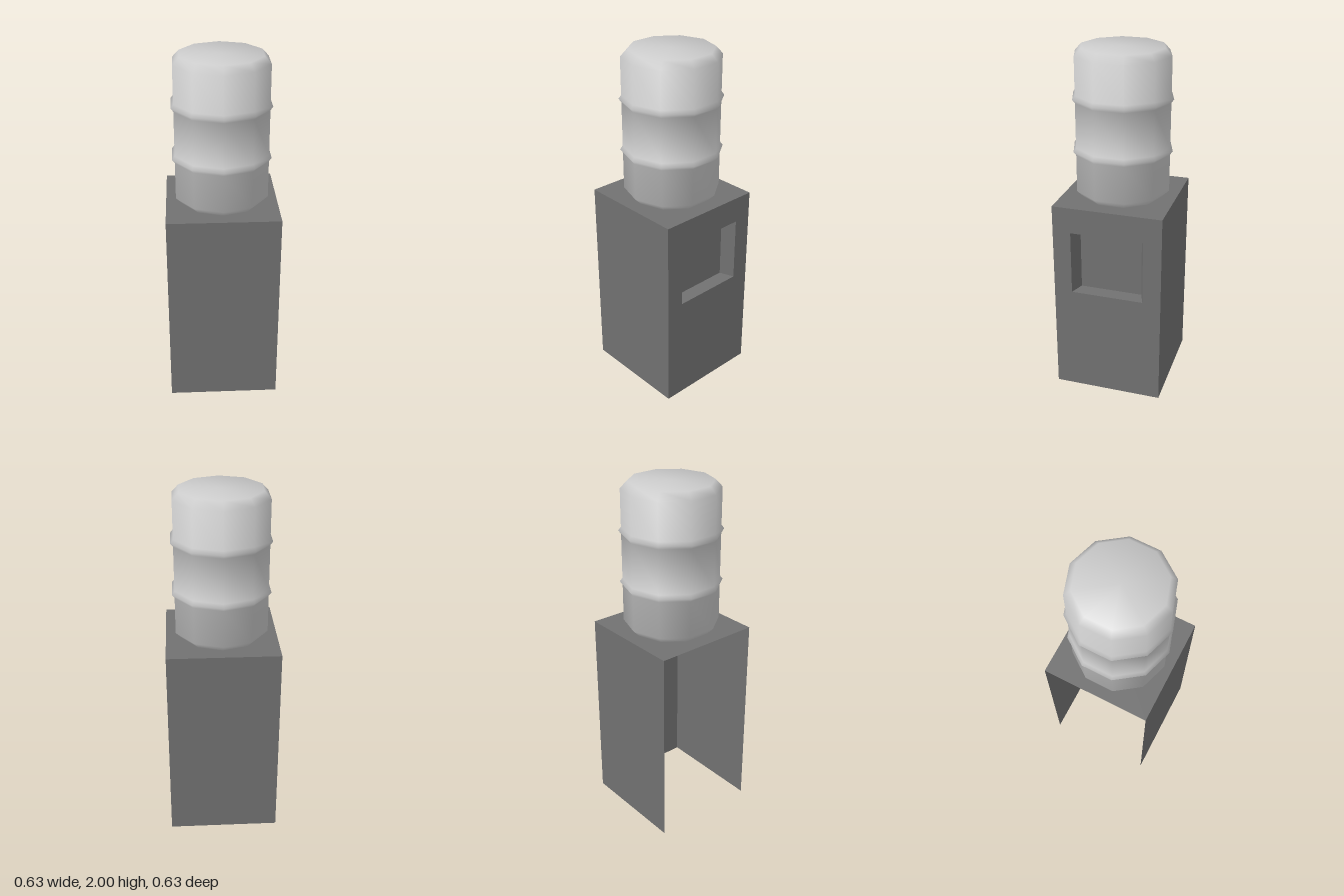
import * as THREE from 'three';

const HALF = 0.315, HEIGHT = 1.16;

// Lathe whose normals blend neighbouring bands equally, whatever their length
function softLathe(points, segments) {
  const geometry = new THREE.LatheGeometry(points.map(p => new THREE.Vector2(...p)), segments);
  const bands = points.slice(1).map(([r, y], i) => new THREE.Vector2(y - points[i][1], points[i][0] - r).normalize());
  const normals = points.map(([r], i) => {
    if (r === 0) return new THREE.Vector2(0, 1);
    return (bands[i - 1] ?? bands[i]).clone().add(bands[i]).normalize();
  });
  for (let s = 0; s <= segments; s++) {
    const phi = (s / segments) * Math.PI * 2;
    normals.forEach((n, j) => geometry.attributes.normal.setXYZ(
      s * points.length + j, n.x * Math.sin(phi), n.y, n.x * Math.cos(phi)));
  }
  return geometry;
}

export function createModel() {
  const model = new THREE.Group();
  model.name = 'waterCooler';
  const panelMat = new THREE.MeshStandardMaterial({ color: 0x717171, flatShading: true, side: THREE.DoubleSide });
  const bottleMat = new THREE.MeshStandardMaterial({ color: 0xcccccc });

  const add = (name, geometry, material, parent) => {
    const mesh = new THREE.Mesh(geometry, material);
    mesh.name = name;
    parent.add(mesh);
    return mesh;
  };

  // Thin sheet-metal cabinet, open underneath and on the -x side
  const cabinet = new THREE.Group();
  cabinet.name = 'cabinet';
  model.add(cabinet);
  for (const [name, side] of [['frontPanel', 1], ['backPanel', -1]]) {
    const panel = add(name, new THREE.PlaneGeometry(2 * HALF, HEIGHT), panelMat, cabinet);
    panel.position.set(0, HEIGHT / 2, side * HALF);
    if (side < 0) panel.rotation.y = Math.PI;
  }
  const top = add('topPanel', new THREE.PlaneGeometry(2 * HALF, 2 * HALF), panelMat, cabinet);
  top.rotation.x = -Math.PI / 2;
  top.position.y = HEIGHT;

  // Dispensing side: panel with a rectangular opening (shape x runs along -z)
  const rect = (Type, w, y0, y1) => new Type([[-w, y0], [w, y0], [w, y1], [-w, y1]].map(p => new THREE.Vector2(...p)));
  const sideShape = rect(THREE.Shape, HALF, 0, HEIGHT);
  sideShape.holes.push(rect(THREE.Path, 0.21, 0.635, 1.01));
  const side = add('dispenserPanel', new THREE.ShapeGeometry(sideShape), panelMat, cabinet);
  side.rotation.y = Math.PI / 2;
  side.position.x = HALF;

  // Tapered recess: four walls and a back, with a level sill
  const ring = (w, y0, y1, x) => [[x, y0, w], [x, y0, -w], [x, y1, -w], [x, y1, w]];
  const outer = ring(0.21, 0.635, 1.01, HALF);
  const inner = ring(0.18, 0.635, 0.967, HALF - 0.085);
  const positions = [];
  const quad = (a, b, c, d) => positions.push(...a, ...b, ...c, ...a, ...c, ...d);
  for (let i = 0; i < 4; i++) {
    const j = (i + 1) % 4;
    quad(outer[i], outer[j], inner[j], inner[i]);
  }
  quad(...inner);
  const recess = new THREE.BufferGeometry();
  recess.setAttribute('position', new THREE.Float32BufferAttribute(positions, 3));
  recess.computeVertexNormals();
  add('dispenserRecess', recess, panelMat, cabinet);

  // Ten-sided bottle with chamfered ends and two raised ribs
  const profile = [[0.232, 1.16], [0.272, 1.2]];
  for (const y of [1.435, 1.73]) profile.push([0.272, y - 0.02], [0.287, y], [0.272, y + 0.02]);
  profile.push([0.272, 1.96], [0.235, 2], [0, 2]);
  add('waterBottle', softLathe(profile, 10), bottleMat, model);

  return model;
}
